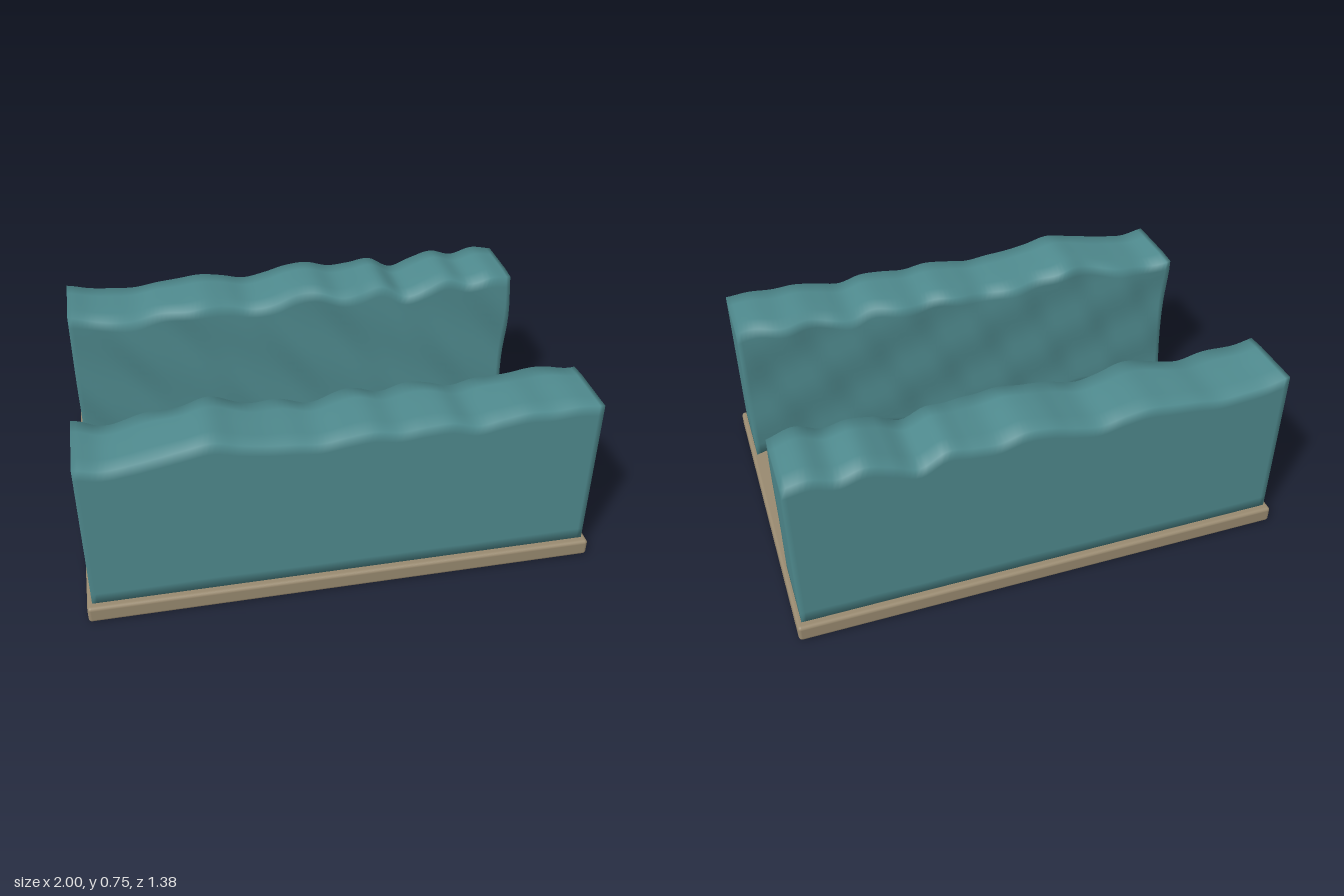
import * as THREE from 'three';
import { mergeVertices } from 'three/addons/utils/BufferGeometryUtils.js';
import { RoundedBoxGeometry } from 'three/addons/geometries/RoundedBoxGeometry.js';

const water = new THREE.MeshStandardMaterial({ name: 'teal water', color: 0x4f8a8e });
const sand = new THREE.MeshStandardMaterial({ name: 'sand', color: 0x998a70 });

const FLOOR = 0.07, HALF = 0.98, OUTER = 0.66;

// Crest heights, evenly spaced along x
const backCrest = [0.737, 0.715, 0.705, 0.7, 0.715, 0.725, 0.735, 0.722, 0.701, 0.718, 0.744,
  0.75, 0.724, 0.73, 0.742, 0.692, 0.725, 0.752, 0.726, 0.752, 0.737];
const frontCrest = [0.7, 0.681, 0.692, 0.71, 0.73, 0.747, 0.724, 0.708, 0.7, 0.69, 0.705,
  0.715, 0.7, 0.71, 0.713, 0.688, 0.705, 0.72, 0.715, 0.722, 0.714];

function crestCurve(heights) {
  return new THREE.SplineCurve(heights.map((h, i) => new THREE.Vector2(i, h)));
}

function add(parent, name, geometry, material, x = 0, y = 0, z = 0) {
  const mesh = new THREE.Mesh(geometry, material);
  mesh.name = name;
  mesh.position.set(x, y, z);
  parent.add(mesh);
  return mesh;
}

// A slab of water: wavy crest, flat outer face, diagonally rippled inner face
function waterWall(side, heights, ripple) {
  const box = new THREE.BoxGeometry(2, 1, 1, 100, 14, 4);
  box.deleteAttribute('uv');
  box.deleteAttribute('normal');
  box.clearGroups();
  const geo = mergeVertices(box);
  const curve = crestCurve(heights);
  const p = geo.attributes.position;
  for (let i = 0; i < p.count; i++) {
    const x = p.getX(i) * HALF;
    const v = p.getY(i) + 0.5;
    const inward = 0.5 - side * p.getZ(i); // 0 at the outer face, 1 at the inner
    const top = curve.getPoint((p.getX(i) + 1) / 2).y - (inward > 0.99 ? 0.006 : 0);
    const y = FLOOR + v * (top - FLOOR);
    const inner = 0.361 - 0.014 * ripple(x, y) - 0.004 * Math.sin(11 * x + 17 * y);
    p.setXYZ(i, x, y, side * (OUTER + inward * (inner - OUTER)));
  }
  geo.computeVertexNormals();
  return geo;
}

// A limb between two points
function limb(parent, name, a, b, r0, r1) {
  const from = new THREE.Vector3(...a), to = new THREE.Vector3(...b);
  const dir = to.clone().sub(from);
  const mesh = add(parent, name, new THREE.CylinderGeometry(r1, r0, dir.length(), 10), sand);
  mesh.position.copy(from).add(to).multiplyScalar(0.5);
  mesh.quaternion.setFromUnitVectors(new THREE.Vector3(0, 1, 0), dir.normalize());
}

// Small robed walker, feet at y = 0
function walker() {
  const g = new THREE.Group();
  g.name = 'walker';
  const robe = [[0, 0.046], [0.015, 0.046], [0.011, 0.095], [0.014, 0.13], [0.016, 0.15],
    [0.011, 0.161], [0.004, 0.165], [0, 0.165]].map(([r, y]) => new THREE.Vector2(r, y));
  add(g, 'robe', new THREE.LatheGeometry(robe, 16), sand).scale.z = 0.8;
  limb(g, 'neck', [0, 0.16, 0], [0, 0.172, 0], 0.004, 0.004);
  add(g, 'head', new THREE.SphereGeometry(0.011, 14, 10), sand, 0, 0.176, 0).scale.y = 1.2;
  for (const s of [-1, 1]) {
    limb(g, 'upperArm', [s * 0.017, 0.154, 0], [s * 0.022, 0.118, s * 0.005], 0.005, 0.004);
    limb(g, 'forearm', [s * 0.022, 0.118, s * 0.005], [s * 0.023, 0.088, s * 0.01], 0.004, 0.003);
    add(g, 'hand', new THREE.SphereGeometry(0.004, 8, 6), sand, s * 0.023, 0.085, s * 0.01);
    limb(g, 'leg', [s * 0.006, 0.055, 0], [s * 0.006, 0.004, -s * 0.01], 0.005, 0.0035);
    add(g, 'foot', new THREE.SphereGeometry(0.005, 8, 6), sand, s * 0.006, 0.004, 0.003 - s * 0.01)
      .scale.set(0.8, 0.8, 1.5);
  }
  return g;
}

export function createModel() {
  const model = new THREE.Group();
  model.name = 'partedSea';

  // Sea bed
  add(model, 'base', new RoundedBoxGeometry(2, FLOOR, 1.38, 3, 0.014), sand, 0, FLOOR / 2, 0);

  // Two facing walls of water
  add(model, 'frontWaterWall',
    waterWall(1, frontCrest, (x, y) => Math.sin(25 * x - 11 * y - 4.47)), water);
  add(model, 'backWaterWall',
    waterWall(-1, backCrest, (x, y) => Math.sin(19 * x + 11 * y - 4.09)), water);

  // People crossing between them
  for (const [x, z] of [[-0.6, -0.08], [0.52, -0.08], [-0.04, 0.075]]) {
    const person = walker();
    person.position.set(x, FLOOR, z);
    person.rotation.y = -0.12;
    model.add(person);
  }
  return model;
}
